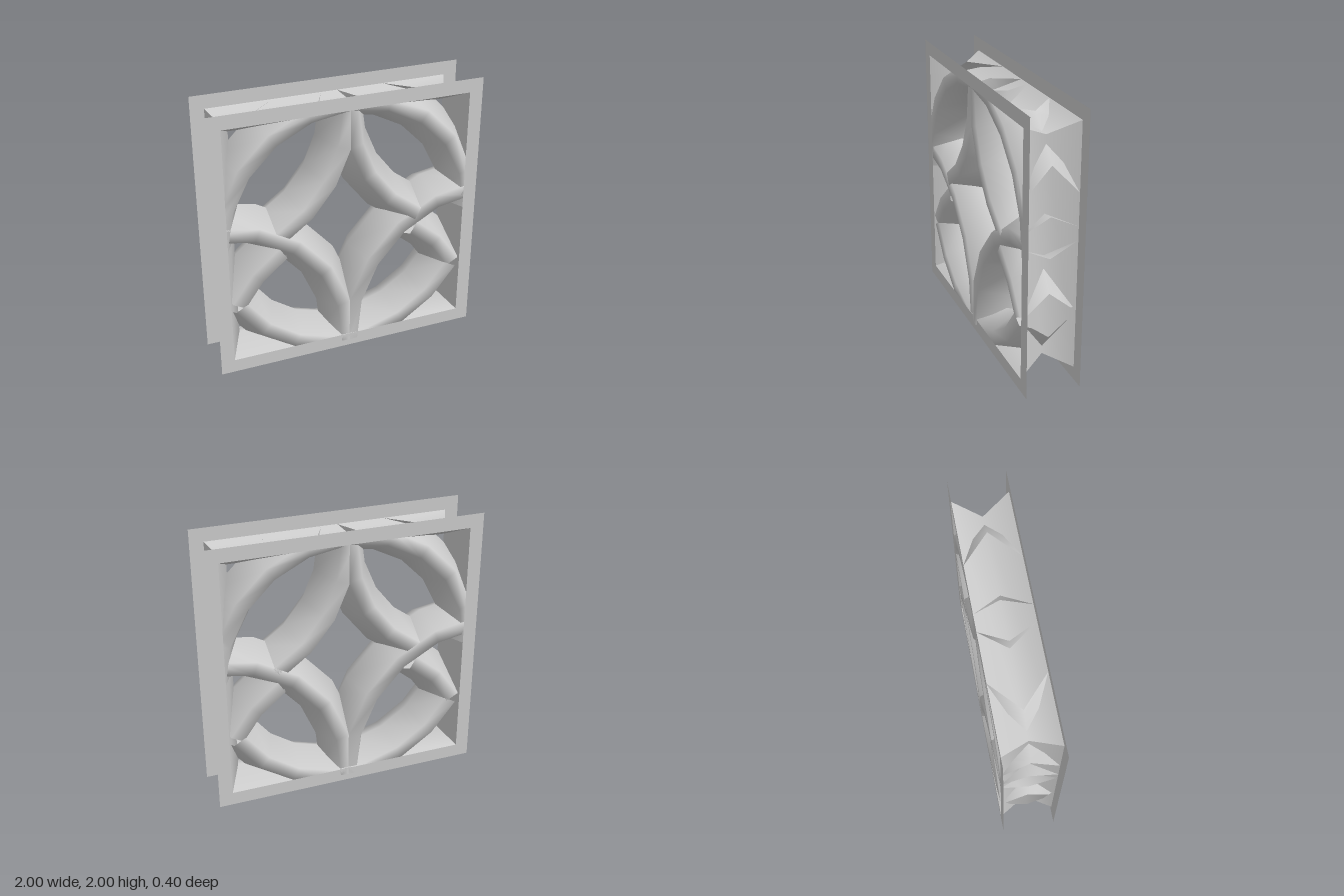
import * as THREE from 'three';

const material = new THREE.MeshStandardMaterial({ color: 0xcccccc, side: THREE.DoubleSide });
const DEG = Math.PI / 180;

// Bar cross-section: [offset from the centre line, z]
const BAR = [[-0.05, 0.2], [-0.15, 0], [-0.05, -0.2], [0.05, -0.2], [0.15, 0], [0.05, 0.2]];

// Cuts a geometry by planes [nx, ny, d], keeping nx*x + ny*y + d >= 0; the cut stays open
function clip(geometry, planes) {
  const g = geometry.toNonIndexed();
  const p = g.attributes.position, n = g.attributes.normal;
  const positions = [], normals = [];
  for (let i = 0; i < p.count; i += 3) {
    let poly = [0, 1, 2].map(k => [p.getX(i + k), p.getY(i + k), p.getZ(i + k),
      n.getX(i + k), n.getY(i + k), n.getZ(i + k)]);
    for (const [nx, ny, d] of planes) {
      const out = [];
      poly.forEach((a, k) => {
        const b = poly[(k + 1) % poly.length];
        const da = nx * a[0] + ny * a[1] + d, db = nx * b[0] + ny * b[1] + d;
        if (da >= 0) out.push(a);
        if ((da >= 0) !== (db >= 0)) out.push(a.map((v, j) => v + (b[j] - v) * da / (da - db)));
      });
      poly = out;
    }
    for (let k = 1; k + 1 < poly.length; k++) {
      for (const v of [poly[0], poly[k], poly[k + 1]]) {
        positions.push(v[0], v[1], v[2]);
        normals.push(v[3], v[4], v[5]);
      }
    }
  }
  const result = new THREE.BufferGeometry();
  result.setAttribute('position', new THREE.Float32BufferAttribute(positions, 3));
  result.setAttribute('normal', new THREE.Float32BufferAttribute(normals, 3));
  return result;
}

// Sweeps the bar along an elliptical arc (angles in degrees)
function arcBar(cx, cy, rx, ry, from, to, segments) {
  const positions = [], index = [], m = BAR.length;
  for (let i = 0; i <= segments; i++) {
    const a = (from + (to - from) * i / segments) * DEG;
    for (const [dr, z] of BAR) {
      positions.push(cx + (rx + dr) * Math.cos(a), cy + (ry + dr) * Math.sin(a), z);
    }
  }
  for (let i = 0; i < segments; i++) {
    for (let j = 0; j < m; j++) {
      const a = i * m + j, b = i * m + (j + 1) % m;
      index.push(a, b, a + m, b, b + m, a + m);
    }
  }
  const g = new THREE.BufferGeometry();
  g.setAttribute('position', new THREE.Float32BufferAttribute(positions, 3));
  g.setIndex(index);
  g.computeVertexNormals();
  return g;
}

// One mitred side of the frame, lofted through [half size, z] rows
function frameSide(rows) {
  const positions = [], index = [];
  for (const [h, z] of rows) positions.push(-h, -h, z, h, -h, z);
  for (let i = 0; i + 1 < rows.length; i++) {
    const a = 2 * i;
    index.push(a, a + 1, a + 2, a + 1, a + 3, a + 2);
  }
  const g = new THREE.BufferGeometry();
  g.setAttribute('position', new THREE.Float32BufferAttribute(positions, 3));
  g.setIndex(index);
  g.computeVertexNormals();
  return g;
}

export function createModel() {
  const model = new THREE.Group();
  model.name = 'screenBlock';
  const add = (parent, name, geometry) => {
    const mesh = new THREE.Mesh(geometry, material);
    mesh.name = name;
    parent.add(mesh);
    return mesh;
  };

  // Square frame: flat rims front and back, and a bevelled inner wall
  const frame = new THREE.Group();
  frame.name = 'frame';
  frame.position.y = 1;
  model.add(frame);
  const strips = {
    frontRim: [[1, 0.2], [0.9, 0.2]],
    innerWall: [[0.9, 0.2], [0.8, 0], [0.9, -0.2]],
    backRim: [[0.9, -0.2], [1, -0.2]],
  };
  for (const [name, rows] of Object.entries(strips)) {
    const g = frameSide(rows);
    for (let k = 0; k < 4; k++) add(frame, name, g).rotation.z = k * Math.PI / 2;
  }

  // Lattice bars, cut off inside the frame
  const sides = [[-1, 0, 0.9], [1, 0, 0.9]];
  const top = [0, -1, 1.9], bottom = [0, 1, -0.1];
  add(model, 'upperArch', clip(arcBar(0, 1, 0.95, 0.95, 0, 180, 10), [...sides, top]));
  add(model, 'lowerArch', clip(arcBar(0, 1, 0.95, 0.95, 210, 330, 7), [...sides, bottom]));

  // Curved bars, in mirrored pairs meeting on the middle line
  const pairs = [
    ['risingBar', 1, 0.1, 0.99, 1.04, 90, 183, 5, true],
    ['fallingBar', 1, 1.9, 0.99, 1.0, 180, 242, 4, true],
    ['sideBar', 0, 0.1, 0.95, 0.95, 28, 58, 2, false],
  ];
  for (const [name, cx, cy, rx, ry, a0, a1, n, meets] of pairs) {
    for (const s of [1, -1]) {
      const g = s > 0 ? arcBar(cx, cy, rx, ry, a0, a1, n)
        : arcBar(-cx, cy, rx, ry, 180 - a1, 180 - a0, n);
      const planes = [...sides, top];
      if (meets) planes.push([s, 0, 0]);
      add(model, (s > 0 ? 'left ' : 'right ') + name, clip(g, planes));
    }
  }
  return model;
}
